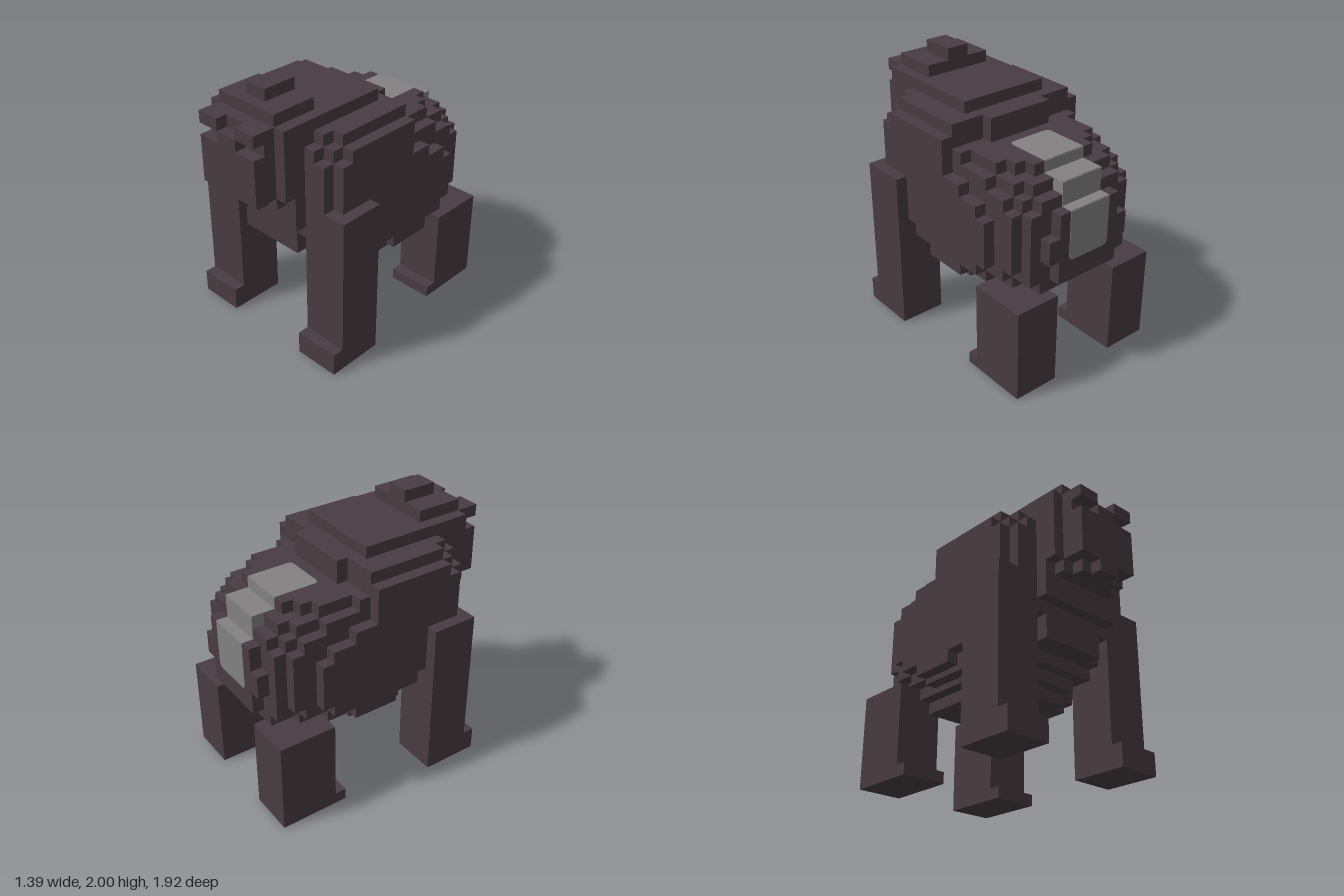
import * as THREE from 'three';

const U = 2 / 23; // one block

export function createModel() {
  const model = new THREE.Group();
  const fur = new THREE.MeshStandardMaterial({ color: 0x483c41 });
  fur.name = 'darkFur';
  const silver = new THREE.MeshStandardMaterial({ color: 0x838181 });
  silver.name = 'silverFur';

  const add = (name, geometry, material, parent = model) => {
    const mesh = new THREE.Mesh(geometry, material);
    mesh.name = name;
    parent.add(mesh);
    return mesh;
  };

  // Box from its limits, in blocks
  const box = (name, x0, x1, y0, y1, z0, z1, parent = model, material = fur) => {
    const g = new THREE.BoxGeometry((x1 - x0) * U, (y1 - y0) * U, (z1 - z0) * U);
    g.translate((x0 + x1) * U / 2, (y0 + y1) * U / 2, (z0 + z1) * U / 2);
    return add(name, g, material, parent);
  };
  const pair = (name, x0, x1, ...rest) => {
    box(name + 'Left', x0, x1, ...rest);
    box(name + 'Right', -x1, -x0, ...rest);
  };

  // Side profile (z, y pairs) extruded across the body to half width w
  const slab = (name, w, pts) => {
    const shape = new THREE.Shape();
    for (let i = 0; i < pts.length; i += 2) {
      if (i) shape.lineTo(pts[i] * U, pts[i + 1] * U);
      else shape.moveTo(pts[i] * U, pts[i + 1] * U);
    }
    const g = new THREE.ExtrudeGeometry(shape, { depth: 2 * w * U, bevelEnabled: false });
    g.translate(0, 0, -w * U);
    g.rotateY(-Math.PI / 2);
    add(name, g, fur);
  };

  // Stepped torso, from the flanks inwards
  slab('flanks', 7, [6, 12, 6, 18, 5, 18, 5, 19, -2, 19, -2, 16, -4, 16, -4, 15, -6, 15, -6, 14,
    -7, 14, -7, 10, -6, 10, -6, 9, -4, 9, -4, 8, 0, 8, 0, 9, 2, 9, 2, 10, 3, 10, 3, 12]);
  slab('ribs', 6, [7, 12, 7, 18, 6, 18, 6, 19, 5, 19, 5, 20, -2, 20, -2, 18, -3, 18, -3, 17,
    -6, 17, -6, 16, -8, 16, -8, 15, -9, 15, -9, 10, -8, 10, -8, 9, -6, 9, -6, 8, -4, 8,
    -4, 7.5, 1, 7.5, 1, 8, 3, 8, 3, 9, 4, 9, 4, 12]);
  slab('torso', 5, [7, 12, 7, 19, 6, 19, 6, 20, -2, 20, -2, 18, -6, 18, -6, 17, -8, 17, -8, 16,
    -9, 16, -9, 15, -10, 15, -10, 9, -8, 9, -8, 8, -6, 8, -6, 7, 2, 7, 2, 8, 4, 8, 4, 9, 5, 9, 5, 12]);
  slab('shouldersAndSpine', 4, [7, 11, 7, 20, 6, 20, 6, 21, -1, 21, -1, 20, -2, 20, -2, 18, -7, 18,
    -7, 17, -9, 17, -9, 16, -10, 16, -10, 8, -6, 8, -6, 6, 2, 6, 2, 7, 3, 7, 3, 8, 5, 8, 5, 9, 6, 9, 6, 11]);
  slab('chestAndBelly', 3, [7, 9, 7, 20, -3, 20, -3, 18, -8, 18, -8, 17, -9, 17, -9, 16, -10, 16,
    -10, 8, -6, 8, -6, 6, 3, 6, 3, 7, 4, 7, 4, 8, 5, 8, 5, 9]);
  box('rump', -3, 3, 9, 15, -11, -10);
  box('rumpMiddle', -4, 4, 11, 13, -11, -10);

  // Head
  const head = new THREE.Group();
  head.name = 'head';
  model.add(head);
  box('neck', -4, 4, 12, 21, 5, 8, head);
  box('skull', -4, 4, 15, 21, 8, 9, head);
  box('throat', -3, 3, 14, 15, 8, 9, head);
  box('face', -3, 3, 15, 21, 9, 10, head);
  box('jaw', -2, 2, 14, 15, 9, 10, head);
  box('chin', -1, 1, 14, 15, 10, 11, head);
  box('muzzle', -3, 3, 15, 19, 10, 11, head);
  box('noseBridge', -1, 1, 19, 20, 10, 11, head);
  pair('brow', 1, 3, 20, 21, 10, 11, head);
  box('crown', -3, 3, 21, 22, 5, 9, head);
  box('crest', -1, 1, 22, 23, 5, 8, head);

  // Limbs
  pair('arm', 4, 8, 0, 14, 3, 7);
  pair('hand', 4, 8, 0, 2, 7, 8);
  pair('hindLeg', 3, 7, 0, 8, -11, -6);
  pair('hindFoot', 3, 7, 0, 1, -6, -5);

  // Silver saddle: thin plates following the steps of the back
  const saddle = new THREE.Group();
  saddle.name = 'silverSaddle';
  model.add(saddle);
  const t = 0.05;
  box('saddleLedge', -2, 2, 16, 17, -10, -9, saddle, silver);
  box('saddleUpperRiser', -2, 2, 17, 18, -8 - t, -8, saddle, silver);
  box('saddleMiddle', -2, 2, 17, 17 + t, -10, -8, saddle, silver);
  box('saddleLowerRiser', -2, 2, 15, 17, -10 - t, -10, saddle, silver);
  box('saddleStep', -2, 2, 15, 15 + t, -11, -10, saddle, silver);

  // Plate with two rounded corners at its far end
  const roundedPlate = (length) => {
    const w = 2 * U, l = length * U, r = 0.04;
    const s = new THREE.Shape();
    s.moveTo(-w, 0);
    s.lineTo(w, 0);
    s.lineTo(w, l - r);
    s.quadraticCurveTo(w, l, w - r, l);
    s.lineTo(r - w, l);
    s.quadraticCurveTo(-w, l, -w, l - r);
    return new THREE.ExtrudeGeometry(s, { depth: t * U, bevelEnabled: false, curveSegments: 4 });
  };
  const top = add('saddleTop', roundedPlate(4), silver, saddle);
  top.rotation.x = Math.PI / 2;
  top.position.set(0, (18 + t) * U, -8 * U);
  const rear = add('saddleRear', roundedPlate(4.25), silver, saddle);
  rear.rotation.x = Math.PI;
  rear.position.set(0, 15 * U, -11 * U);

  return model;
}
